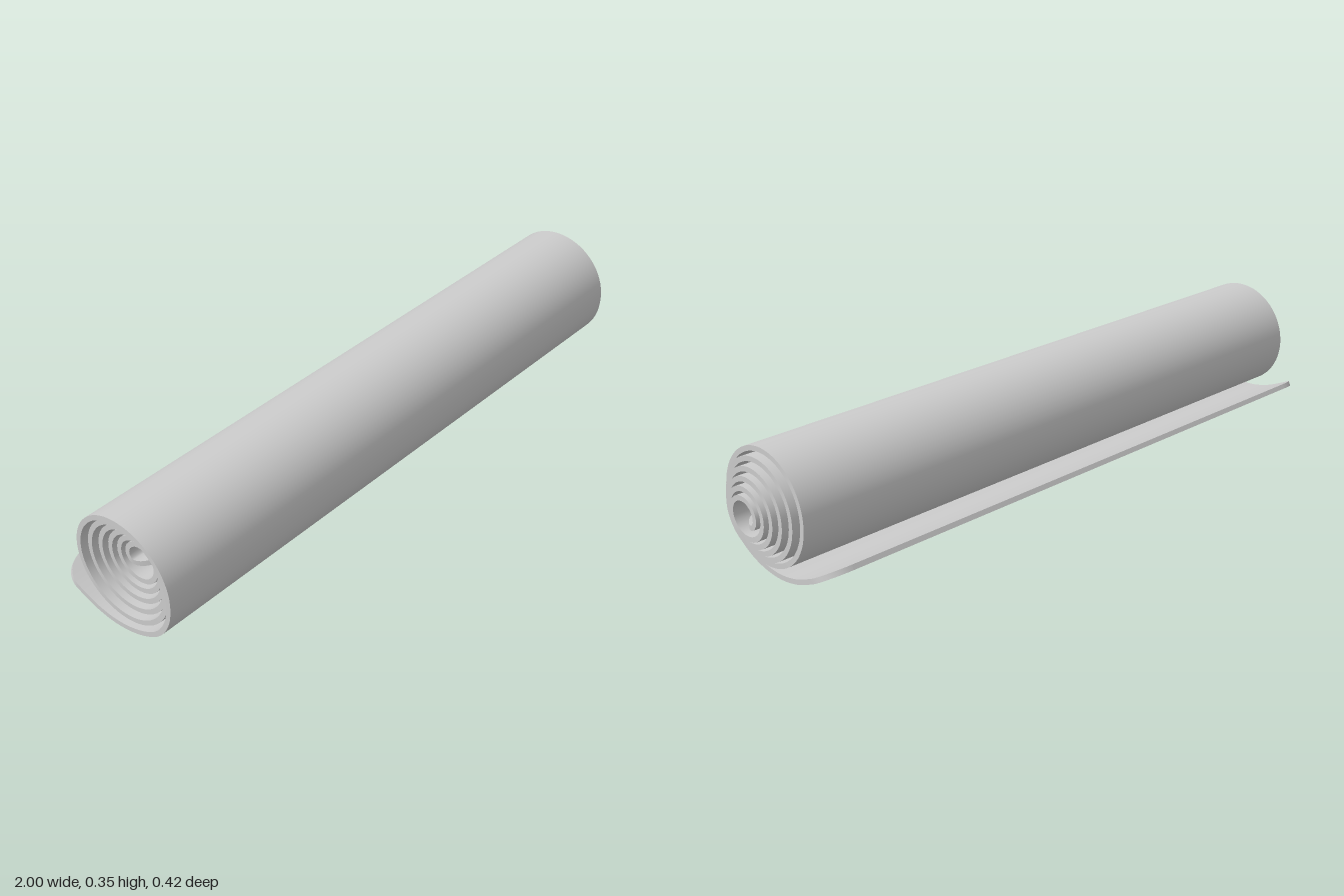
import * as THREE from 'three';
import { mergeGeometries } from 'three/addons/utils/BufferGeometryUtils.js';

const HALF = 0.0073; // half the sheet thickness

// Centre line of the rolled sheet in the z-y plane, from the inner hook to the loose flap
function rollCurve() {
  const pts = [];
  const add = (z, y) => pts.push(new THREE.Vector3(0, y, z));
  [[0.065, 0.174], [0.04, 0.167], [0.018, 0.164], [0.002, 0.167], [-0.006, 0.175]].forEach(p => add(...p));
  for (let i = 0; i <= 132; i++) {
    const t = i / 24, a = t * Math.PI * 2;
    const r = 0.0455 + 0.0222 * t + 0.0018 * Math.cos(2 * a);
    add(0.037 - r * Math.cos(a), 0.186 + r * Math.sin(a));
  }
  [[0.197, 0.12], [0.161, 0.061], [0.095, 0.023], [0.01, 0.0075],
    [-0.065, 0.0165], [-0.135, 0.043], [-0.207, 0.081]].forEach(p => add(...p));
  const curve = new THREE.CatmullRomCurve3(pts);
  curve.arcLengthDivisions = 3000;
  return curve;
}

// Strip of quads between two rows of points, with its own smooth normals
function strip(a, b) {
  const pos = [], idx = [];
  a.forEach((p, i) => {
    pos.push(...p.toArray(), ...b[i].toArray());
    if (i < a.length - 1) {
      const k = i * 2;
      idx.push(k, k + 2, k + 1, k + 2, k + 3, k + 1);
    }
  });
  const g = new THREE.BufferGeometry();
  g.setAttribute('position', new THREE.Float32BufferAttribute(pos, 3));
  g.setIndex(idx);
  g.computeVertexNormals();
  return g;
}

export function createModel() {
  const curve = rollCurve();
  const length = curve.getLength();
  const cornerLen = 0.07, cornerIn = 0.08;

  // Sample distances: denser at the rounded corners of both ends
  const head = [];
  for (let k = 0; k <= 10; k++) head.push(cornerLen * (1 - Math.cos((k / 10) * Math.PI / 2)));
  const dist = [...head];
  const steps = 280;
  for (let i = 1; i < steps; i++) dist.push(cornerLen + (length - 2 * cornerLen) * i / steps);
  dist.push(...head.map(d => length - d).reverse());

  const outL = [], outR = [], inL = [], inR = [];
  for (const d of dist) {
    const u = Math.min(1, Math.max(0, d / length));
    const p = curve.getPointAt(u), t = curve.getTangentAt(u);
    const n = new THREE.Vector3(0, t.z, -t.y).multiplyScalar(HALF);
    // Inner turns slide out towards +x; corners are rounded at both ends
    const shift = 0.07 * (1 - Math.min(1, u / 0.82));
    const e = Math.min(1, Math.min(d, length - d) / cornerLen);
    const inset = cornerIn * (1 - Math.sqrt(Math.max(0, 1 - (1 - e) ** 2)));
    const xl = -1 + shift + inset, xr = 0.93 + shift - inset;
    const o = p.clone().add(n), q = p.clone().sub(n);
    outL.push(o.clone().setX(xl));
    outR.push(o.clone().setX(xr));
    inL.push(q.clone().setX(xl));
    inR.push(q.clone().setX(xr));
  }

  // Outer and inner faces, the two side edges and the two end caps
  const z = dist.length - 1;
  const geometry = mergeGeometries([
    strip(outL, outR),
    strip(inR, inL),
    strip(outR, inR),
    strip(inL, outL),
    strip([outL[0], outR[0]], [inL[0], inR[0]]),
    strip([inL[z], inR[z]], [outL[z], outR[z]]),
  ]);

  const mat = new THREE.Mesh(geometry, new THREE.MeshStandardMaterial({ color: 0xcccccc }));
  mat.name = 'rolledMat';
  const group = new THREE.Group();
  group.name = 'matRoll';
  group.add(mat);
  return group;
}
